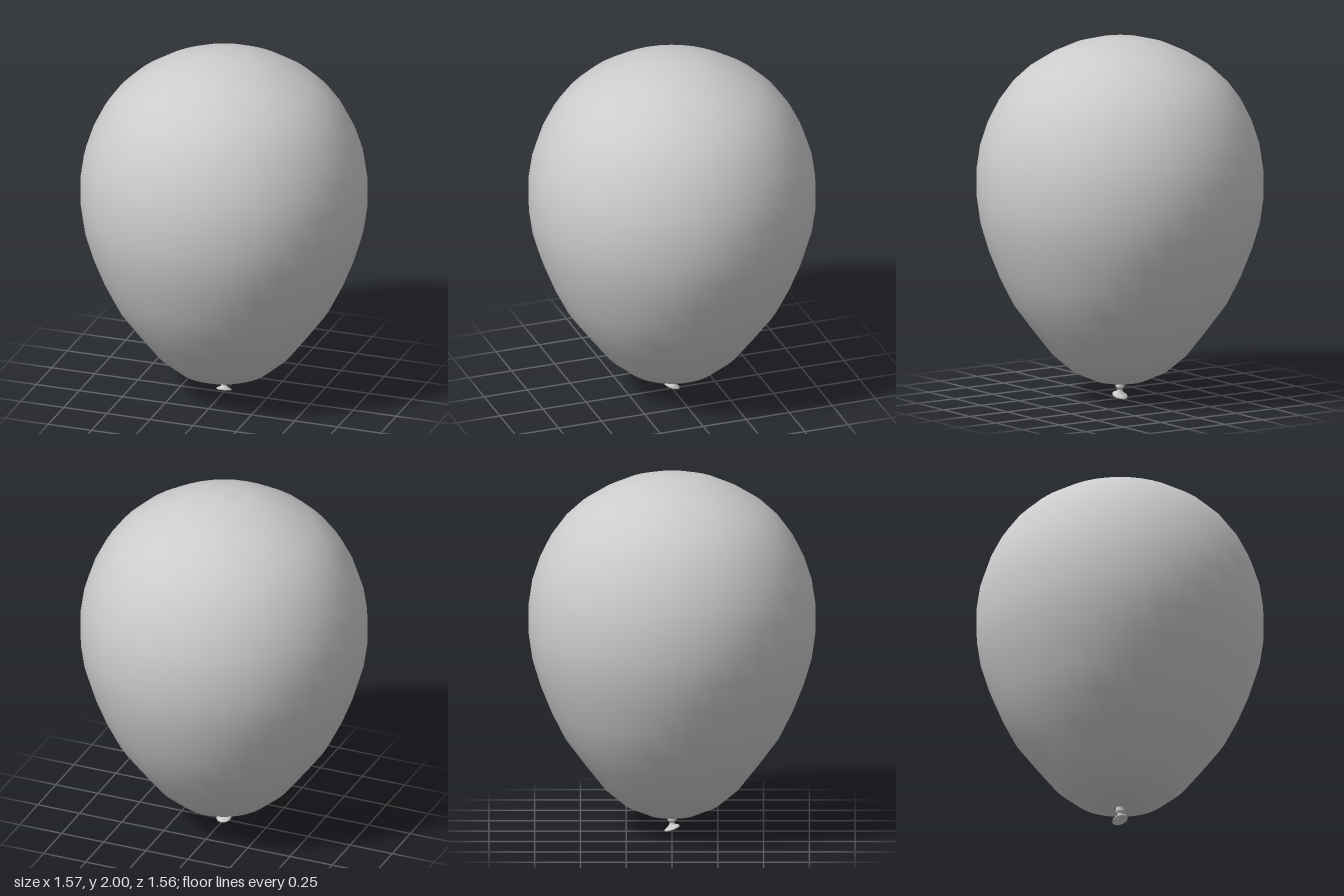
import * as THREE from 'three';

const material = () => new THREE.MeshStandardMaterial({ color: 0xcccccc, side: THREE.DoubleSide });
const toProfile = (pairs) => pairs.map(([r, y]) => new THREE.Vector2(r, y));

// Inflated body: smooth egg-shaped shell, narrow end down
function createBody() {
  const profile = toProfile([
    [0, 0.085], [0.135, 0.1], [0.26, 0.155], [0.372, 0.25], [0.485, 0.395],
    [0.585, 0.53], [0.66, 0.68], [0.72, 0.83], [0.765, 0.98], [0.785, 1.12],
    [0.785, 1.265], [0.765, 1.4], [0.722, 1.53], [0.662, 1.65], [0.592, 1.745],
    [0.5, 1.83], [0.38, 1.905], [0.257, 1.96], [0.133, 1.992], [0, 2],
  ]);
  const geometry = new THREE.LatheGeometry(profile, 38);
  geometry.rotateY(Math.PI / 2);
  const body = new THREE.Mesh(geometry, material());
  body.name = 'balloonBody';
  return body;
}

// Tied neck: small knot that flares into a tilted, cupped lip
function createNeck() {
  const profile = toProfile([
    [0, 0.03], [0.025, 0.02], [0.036, 0.013], [0.042, 0.014], [0.042, 0.02],
    [0.034, 0.026], [0.019, 0.035], [0.014, 0.046], [0.015, 0.054],
    [0.023, 0.061], [0.025, 0.068], [0.021, 0.076], [0.022, 0.092],
  ]);
  const geometry = new THREE.LatheGeometry(profile, 20);
  const pos = geometry.attributes.position;
  // Lean the lower part so that the lip is higher at the front
  for (let i = 0; i < pos.count; i++) {
    const lean = 0.33 * THREE.MathUtils.clamp((0.055 - pos.getY(i)) / 0.025, 0, 1);
    pos.setY(i, pos.getY(i) + pos.getZ(i) * lean);
  }
  geometry.computeVertexNormals();
  const neck = new THREE.Mesh(geometry, material());
  neck.name = 'tiedNeck';
  return neck;
}

export function createModel() {
  const model = new THREE.Group();
  model.name = 'balloon';
  model.add(createBody(), createNeck());
  return model;
}
